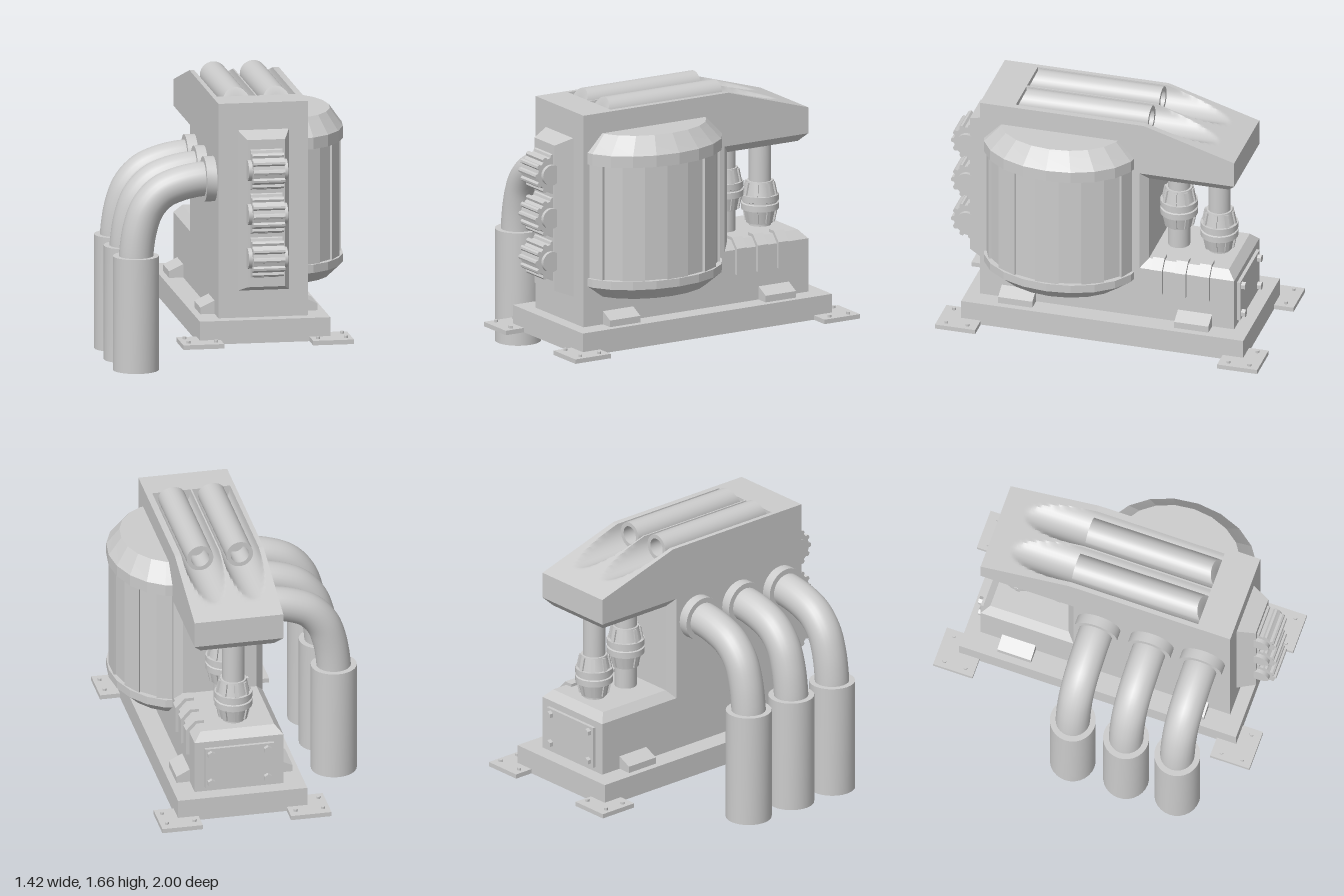
import * as THREE from 'three';
import { toCreasedNormals } from 'three/addons/utils/BufferGeometryUtils.js';

export function createModel() {
  const model = new THREE.Group();
  const grey = new THREE.MeshStandardMaterial({ color: 0xcccccc });
  const V2 = (p) => new THREE.Vector2(p[0], p[1]);

  const add = (name, geo, x = 0, y = 0, z = 0, crease = 0.6) => {
    const mesh = new THREE.Mesh(crease === null ? geo : toCreasedNormals(geo, crease), grey);
    mesh.name = name;
    mesh.position.set(x, y, z);
    model.add(mesh);
    return mesh;
  };
  // Box given by its limits
  const box = (name, x0, x1, y0, y1, z0, z1) =>
    add(name, new THREE.BoxGeometry(x1 - x0, y1 - y0, z1 - z0), (x0 + x1) / 2, (y0 + y1) / 2, (z0 + z1) / 2, null);
  // Box whose +y face is inset on all four sides; its base sits at y = 0
  const frustum = (w, h, d, inset) => {
    const g = new THREE.BoxGeometry(w, h, d).translate(0, h / 2, 0);
    const p = g.attributes.position;
    for (let i = 0; i < p.count; i++) {
      if (p.getY(i) < h / 2) continue;
      p.setX(i, p.getX(i) * (1 - 2 * inset / w));
      p.setZ(i, p.getZ(i) * (1 - 2 * inset / d));
    }
    return g;
  };
  const extrude = (pts, depth) =>
    new THREE.ExtrudeGeometry(new THREE.Shape(pts.map(V2)), { depth, bevelEnabled: false });
  const lathe = (pts, n) => new THREE.LatheGeometry(pts.map(V2), n);

  const X0 = -0.115, X1 = 0.42, XC = (X0 + X1) / 2, W = X1 - X0;
  const ZF = 0.77, ZB = -0.79, ZW = -0.21;

  // Base slab, feet and bolts
  box('baseSlab', -0.24, 0.54, 0.185, 0.325, -0.88, 0.85);
  for (const sx of [-1, 1]) for (const sz of [-1, 1]) {
    const cx = 0.15 + sx * 0.388, cz = -0.012 + sz * 0.865;
    box('foot', cx - 0.122, cx + 0.122, 0.185, 0.212, cz - 0.123, cz + 0.123);
    for (const [ox, oz] of [[1, 1], [-1, 1], [1, -1]])
      add('footBolt', new THREE.CylinderGeometry(0.012, 0.012, 0.015, 8), cx + sx * ox * 0.083, 0.219, cz + sz * oz * 0.065);
  }
  // Wedge brackets along both sides
  for (const zc of [-0.55, 0.53]) {
    add('bracket', extrude([[X1, 0.325], [0.5, 0.325], [0.5, 0.365], [X1, 0.405]], 0.21), 0, 0, zc - 0.105);
    add('bracket', extrude([[X0, 0.325], [-0.2, 0.325], [-0.2, 0.365], [X0, 0.405]], 0.21), 0, 0, zc - 0.105);
  }

  // Housing: C-shaped side profile extruded across x
  const profile = [[ZF, 0.325], [ZF, 1.44], [ZB, 1.44], [ZB, 1.29], [ZW, 1.29], [ZW, 0.65], [ZB, 0.65], [ZB, 0.325]];
  add('housing', extrude(profile, W).rotateY(-Math.PI / 2), X1);
  const zMid = (ZW + ZB) / 2, D = ZW - ZB;
  add('overhangChamfer', frustum(W, 0.05, D, 0.045).rotateX(Math.PI), XC, 1.29, zMid);
  add('lowerBoxChamfer', frustum(W, 0.05, D, 0.045), XC, 0.65, zMid);
  add('backWallChamfer', frustum(W, 0.045, 0.64, 0.045).rotateX(-Math.PI / 2), XC, 0.97, ZW);

  // Housing top: height grid with skirts, a rear slope and two round grooves
  const grooves = [0.028, 0.267], GR = 0.115;
  const xs = [X0, X0];
  for (const g of grooves) for (let i = 0; i <= 16; i++) xs.push(g - GR * Math.cos(i * Math.PI / 16));
  xs.push(X1, X1);
  const zs = [ZB];
  for (let i = 0; i <= 40; i++) zs.push(ZB + (-0.235 - ZB) * i / 40);
  zs.push(0.56, 0.5601, ZF, ZF);
  const heightAt = (x, z) => {
    let h = 1.615 - Math.max(0, -0.235 - z) * 0.3;
    if (z <= 0.56) for (const g of grooves) {
      const d = Math.abs(x - g);
      if (d < GR - 1e-6) h = Math.min(h, 1.605 - Math.sqrt(GR * GR - d * d));
    }
    return h;
  };
  const pos = [], idx = [], nx = xs.length;
  zs.forEach((z, j) => xs.forEach((x, i) => {
    const skirt = i === 0 || j === 0 || i === nx - 1 || j === zs.length - 1;
    pos.push(x, skirt ? 1.44 : heightAt(x, z), z);
    if (i && j) {
      const d = j * nx + i, c = d - 1, b = d - nx, a = b - 1;
      idx.push(a, c, b, b, c, d);
    }
  }));
  const top = new THREE.BufferGeometry();
  top.setAttribute('position', new THREE.Float32BufferAttribute(pos, 3));
  top.setIndex(idx);
  add('housingTop', top, 0, 0, 0, 0.4);

  // Open-ended exhaust tubes lying in the grooves, front ends slanted
  for (const g of grooves) {
    const geo = lathe([[0, -0.1], [0.055, -0.1], [0.055, -0.24], [0.08, -0.24], [0.08, 0.56], [0, 0.56]], 28).rotateX(Math.PI / 2);
    const p = geo.attributes.position;
    for (let i = 0; i < p.count; i++)
      if (p.getZ(i) > 0.5) p.setZ(i, p.getZ(i) - 0.45 * Math.max(0, p.getY(i)));
    add('topTube', geo, g, 1.582, 0);
  }

  // Half-sunk faceted drum on the left side
  const drum = new THREE.Group();
  drum.name = 'drum';
  drum.position.set(0.35, 0, 0.283);
  drum.scale.set(0.75, 1, 1);
  model.add(drum);
  const N = 20, stave = [];
  for (let k = 0; k < N; k++) {
    const r = k % 2 ? 0.458 : 0.44;
    for (const e of [0, 1]) {
      const a = (k + e) * 2 * Math.PI / N + Math.PI / N;
      stave.push([r * Math.cos(a), r * Math.sin(a)]);
    }
  }
  drum.add(add('drumStaves', extrude(stave, 0.72).rotateX(-Math.PI / 2), 0, 0.6, 0, 0.1));
  const cap = [[0, 0], [0.474, 0], [0.474, 0.07], [0.46, 0.083], [0.372, 0.175], [0, 0.175]];
  drum.add(add('drumTopCap', lathe(cap, N), 0, 1.315, 0, 0.1));
  drum.add(add('drumBottomCap', lathe(cap.map(([r, y]) => [r, y * 0.71]), N).rotateX(Math.PI), 0, 0.62, 0, 0.1));

  // Three elbow pipes with flanges and ground sleeves on the right side
  const bend = new THREE.CatmullRomCurve3(
    [[-0.11, 1.133], [-0.2, 1.132], [-0.33, 1.105], [-0.43, 1.06], [-0.51, 0.972], [-0.555, 0.85], [-0.578, 0.7], [-0.58, 0.62]]
      .map(([x, y]) => new THREE.Vector3(x, y, 0)));
  for (const z of [-0.05, 0.283, 0.603]) {
    add('elbowPipe', new THREE.TubeGeometry(bend, 32, 0.102, 24), 0, 0, z);
    add('pipeFlange', new THREE.CylinderGeometry(0.134, 0.134, 0.07, 28).rotateZ(Math.PI / 2), -0.141, 1.133, z);
    add('pipeSleeve', new THREE.CylinderGeometry(0.136, 0.136, 0.685, 28), -0.58, 0.3425, z);
  }

  // Front frame with three toothed rollers
  const FX = 0.153;
  add('rollerFrame', frustum(0.305, 0.105, 0.965, 0.04).rotateX(Math.PI / 2), FX, 0.97, ZF);
  const gear = [];
  for (let i = 0; i < 12; i++)
    for (const [o, r] of [[-0.3, 0.102], [-0.2, 0.117], [0, 0.121], [0.2, 0.117], [0.3, 0.102]]) {
      const a = (i + o) * Math.PI / 6;
      gear.push([r * Math.cos(a), r * Math.sin(a)]);
    }
  for (const y of [0.706, 0.97, 1.235]) {
    add('roller', extrude(gear, 0.19).rotateY(Math.PI / 2), FX - 0.095, y, 0.877);
    add('rollerHub', new THREE.CylinderGeometry(0.062, 0.062, 0.235, 20).rotateZ(Math.PI / 2), FX, y, 0.895);
  }

  // Vertical pipes with ribbed couplings between lower box and overhang
  const PX = 0.15;
  const coupling = [[0.066, -0.128], [0.078, -0.128], [0.095, -0.045], [0.112, -0.045], [0.112, -0.008], [0.102, -0.004],
    [0.102, 0.004], [0.112, 0.008], [0.112, 0.045], [0.095, 0.045], [0.078, 0.128], [0.066, 0.128]];
  for (const [z, y] of [[-0.375, 0.957], [-0.622, 0.843]]) {
    add('verticalPipe', new THREE.CylinderGeometry(0.066, 0.066, 0.58, 24), PX, 0.97, z);
    add('coupling', lathe(coupling, 24), PX, y, z);
    for (let k = 0; k < 8; k++) for (const s of [-1, 1]) {
      const rib = new THREE.BoxGeometry(0.03, 0.08, 0.022).rotateZ(s * 0.2).translate(0.082, s * 0.08, 0).rotateY(k * Math.PI / 4);
      add('couplingRib', rib, PX, y, z, null);
    }
  }

  // Clamps on the left shoulder of the lower box
  const clamp = [[0.41, 0.5], [0.44, 0.5], [0.44, 0.66], [0.385, 0.718], [0.33, 0.718], [0.33, 0.69], [0.41, 0.64]];
  for (const z of [-0.318, -0.462, -0.607])
    add('clamp', extrude(clamp, 0.07), 0, 0, z - 0.035);

  // Rear cover plate with hex bolts
  box('rearPlate', -0.055, 0.36, 0.355, 0.61, -0.81, ZB);
  for (const x of [-0.015, 0.325]) for (const y of [0.39, 0.575])
    add('plateBolt', new THREE.CylinderGeometry(0.025, 0.025, 0.03, 6).rotateX(Math.PI / 2), x, y, -0.82);

  return model;
}
